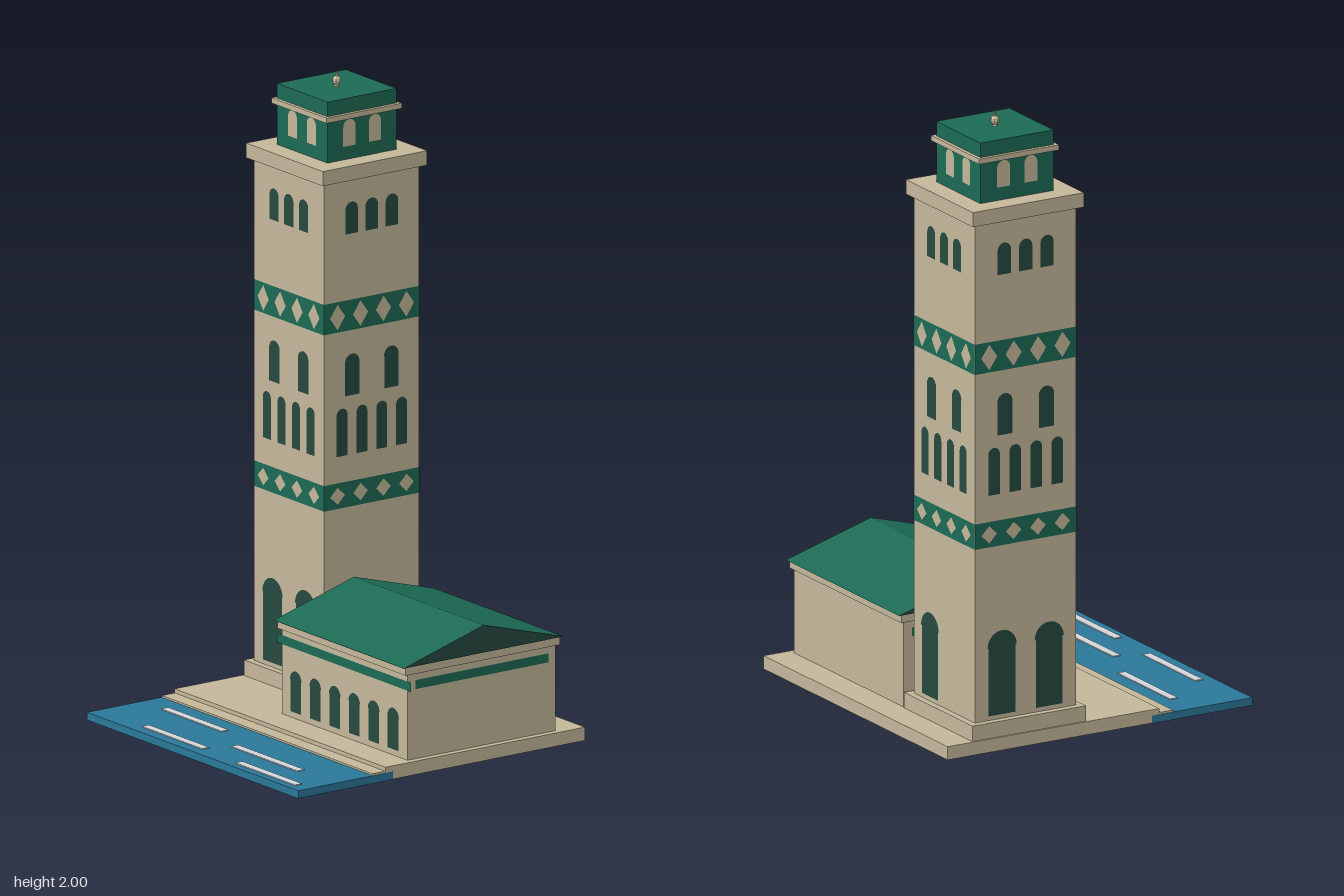
import * as THREE from 'three';

const mat = (name, color) => {
  const m = new THREE.MeshStandardMaterial({ color });
  m.name = name;
  return m;
};

export function createModel() {
  const root = new THREE.Group();
  root.name = 'towerAndHall';
  const stone = mat('stone', 0xc4b89a);
  const green = mat('green', 0x1c6a54);
  green.side = THREE.DoubleSide;
  const dark = mat('darkOpening', 0x264a40);
  const water = mat('water', 0x2a7899);
  const foam = mat('foam', 0xd2d6d8);

  const add = (parent, name, geometry, material, x = 0, y = 0, z = 0) => {
    const m = new THREE.Mesh(geometry, material);
    m.name = name;
    m.position.set(x, y, z);
    parent.add(m);
    return m;
  };
  // Box given by its extents on each axis
  const box = (parent, name, material, [x0, x1], [y0, y1], [z0, z1]) =>
    add(parent, name, new THREE.BoxGeometry(x1 - x0, y1 - y0, z1 - z0), material,
      (x0 + x1) / 2, (y0 + y1) / 2, (z0 + z1) / 2);
  // Flat opening standing on y = 0; the round head may overhang the jambs
  const arch = (w, h, overhang = 0) => {
    const r = w / 2 + overhang, s = new THREE.Shape();
    s.moveTo(-w / 2, 0);
    s.lineTo(w / 2, 0);
    s.lineTo(w / 2, h - r);
    s.absarc(0, h - r, r, 0, Math.PI, false);
    s.lineTo(-w / 2, h - r);
    s.closePath();
    return new THREE.ShapeGeometry(s, 8);
  };
  const diamond = (w, h) => new THREE.ShapeGeometry(new THREE.Shape([
    new THREE.Vector2(0, -h / 2), new THREE.Vector2(w / 2, 0),
    new THREE.Vector2(0, h / 2), new THREE.Vector2(-w / 2, 0)]));
  // Evenly spaced row of flat shapes on a wall facing +z
  const row = (parent, name, geometry, material, count, step, y, z) => {
    for (let i = 0; i < count; i++)
      add(parent, name, geometry, material, (i - (count - 1) / 2) * step, y, z);
  };

  // Ground, quay step and water
  box(root, 'platform', stone, [-0.55, 0.55], [0.002, 0.045], [-0.55, 0.215]);
  box(root, 'quayStep', stone, [-0.549, 0.549], [0, 0.032], [0.215, 0.264]);
  box(root, 'water', water, [-0.5505, 0.5505], [0.001, 0.026], [0.187, 0.55]);
  [[-0.438, -0.124, 0.321], [0.03, 0.376, 0.398], [-0.315, 0, 0.486], [0.188, 0.5, 0.498]]
    .forEach(([x0, x1, z]) => box(root, 'ripple', foam, [x0, x1], [0.026, 0.029], [z, z + 0.027]));

  // Tower, built around its own axis
  const tower = new THREE.Group();
  tower.name = 'tower';
  tower.position.set(-0.3395, 0, -0.252);
  root.add(tower);
  const block = (name, material, w, y0, y1) =>
    box(tower, name, material, [-w / 2, w / 2], [y0, y1], [-w / 2, w / 2]);
  const W = 0.365;
  block('towerBase', stone, 0.41, 0.045, 0.095);
  block('shaft', stone, W, 0.095, 1.708);
  block('cornice', stone, 0.4, 1.708, 1.755);
  block('lantern', green, 0.264, 1.755, 1.887);
  block('lanternCornice', stone, 0.288, 1.887, 1.904);
  block('lanternRoof', green, 0.264, 1.904, 1.951);

  // Finial with a faceted ball
  add(tower, 'finialCollar', new THREE.CylinderGeometry(0.006, 0.009, 0.008, 8), stone, 0, 1.954, 0);
  const ball = new THREE.SphereGeometry(0.015, 8, 6).toNonIndexed();
  ball.computeVertexNormals();
  add(tower, 'finialBall', ball, stone, 0, 1.969, 0);
  add(tower, 'finialSpike', new THREE.CylinderGeometry(0.002, 0.004, 0.02, 8), stone, 0, 1.99, 0);

  // Openings and ornament on the four faces: front, left, back, right
  const door = arch(0.097, 0.272, 0.004), lowWindow = arch(0.042, 0.152);
  const midWindow = arch(0.054, 0.133, 0.001);
  const highWindow = arch(0.048, 0.102), lanternWindow = arch(0.047, 0.086);
  const smallDiamond = diamond(0.056, 0.056), tallDiamond = diamond(0.058, 0.082);
  const lowerBand = new THREE.PlaneGeometry(W, 0.082), upperBand = new THREE.PlaneGeometry(W, 0.098);
  const doorPlaces = [[-0.085, 0.085], [], [-0.085], [-0.085, 0.085]];
  for (let side = 0; side < 4; side++) {
    const face = new THREE.Group();
    face.name = 'towerFace';
    face.rotation.y = side * Math.PI / 2;
    tower.add(face);
    const z = W / 2 + 0.001;
    doorPlaces[side].forEach((x) => add(face, 'doorArch', door, dark, x, 0.109, z));
    add(face, 'lowerBand', lowerBand, green, 0, 0.697, z);
    add(face, 'upperBand', upperBand, green, 0, 1.271, z);
    row(face, 'lowWindow', lowWindow, dark, 4, 0.076, 0.823, z);
    row(face, 'midWindow', midWindow, dark, 2, 0.15, 1.013, z);
    row(face, 'highWindow', highWindow, dark, 3, 0.077, 1.532, z);
    row(face, 'smallDiamond', smallDiamond, stone, 4, 0.088, 0.697, z + 0.001);
    row(face, 'tallDiamond', tallDiamond, stone, 4, 0.088, 1.271, z + 0.001);
    row(face, 'lanternWindow', lanternWindow, stone, 2, 0.098, 1.797, 0.133);
  }

  // Hall, centred on its own ridge
  const hall = new THREE.Group();
  hall.name = 'hall';
  hall.position.set(0.2, 0, -0.17);
  root.add(hall);
  box(hall, 'hallWalls', stone, [-0.328, 0.328], [0.045, 0.32], [-0.284, 0.284]);
  box(hall, 'hallCornice', stone, [-0.334, 0.334], [0.32, 0.346], [-0.296, 0.296]);
  add(hall, 'frontBand', new THREE.PlaneGeometry(0.7, 0.029), green, -0.002, 0.2835, 0.285);
  for (const s of [-1, 1])
    add(hall, 'sideBand', new THREE.PlaneGeometry(0.51, 0.029), green, s * 0.329, 0.2835, 0)
      .rotation.y = s * Math.PI / 2;
  row(hall, 'hallWindow', arch(0.056, 0.133, 0.002), dark, 6, 0.1015, 0.064, 0.285);

  // Gable roof with dark ends (extrude groups: caps, then slopes)
  const gable = new THREE.Shape([new THREE.Vector2(-0.307, 0.346),
    new THREE.Vector2(0.307, 0.346), new THREE.Vector2(0, 0.434)]);
  const roof = new THREE.ExtrudeGeometry(gable, { depth: 0.678, bevelEnabled: false });
  add(hall, 'hallRoof', roof, [dark, green], -0.339, 0, 0).rotation.y = Math.PI / 2;

  return root;
}
